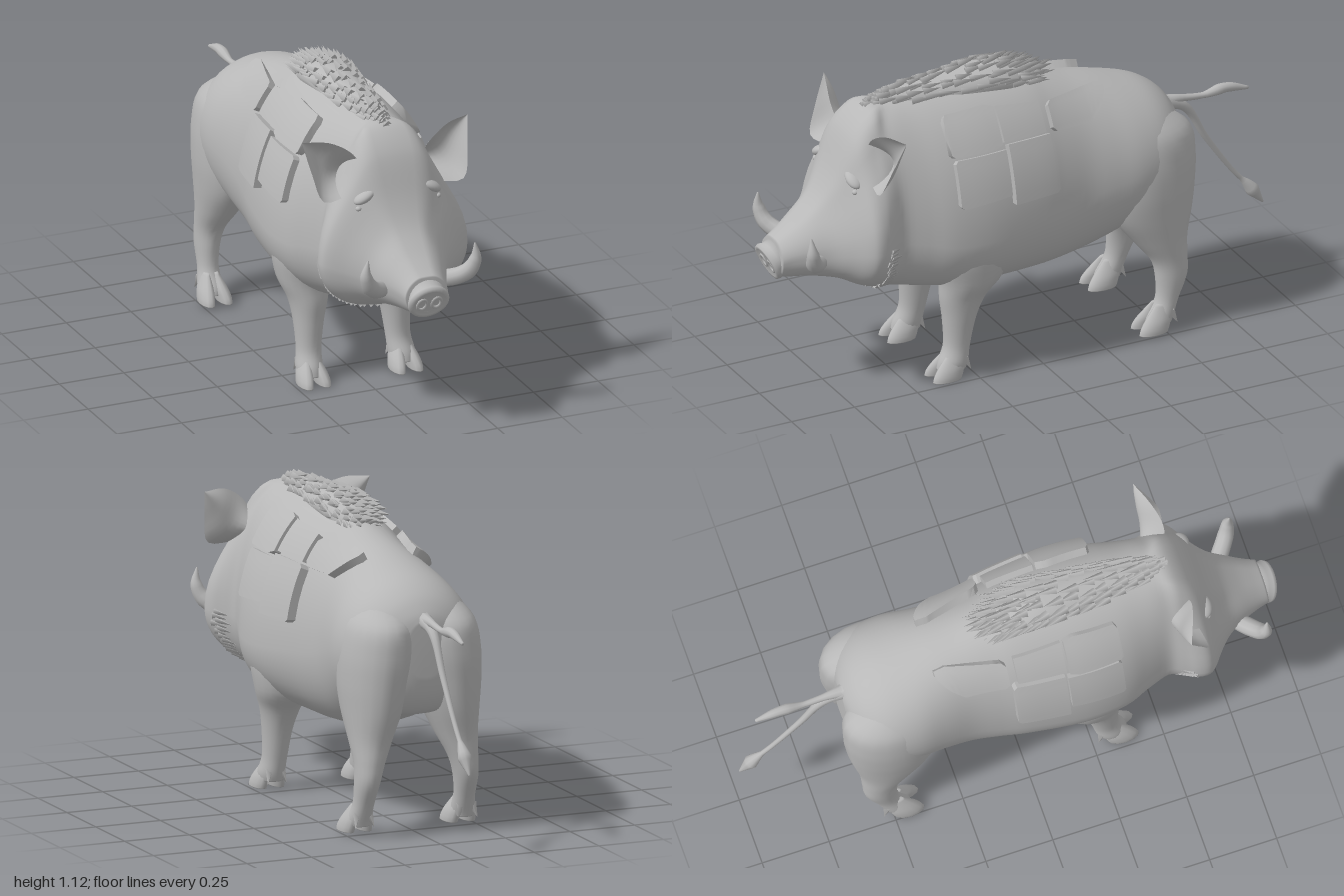
import * as THREE from 'three';
import { mergeGeometries, toCreasedNormals } from 'three/addons/utils/BufferGeometryUtils.js';

const V = (x, y, z) => new THREE.Vector3(x, y, z);

// Small seeded random numbers for the hair
let seed = 7;
const rand = () => (seed = (seed * 16807) % 2147483647) / 2147483647;

// Smoothly subdivides rows of numbers
function smoothRows(rows, n) {
  const out = [], last = rows.length - 1;
  const at = i => rows[Math.min(Math.max(i, 0), last)];
  for (let i = 0; i < last; i++)
    for (let k = 0; k < n; k++) {
      const t = k / n;
      out.push(rows[i].map((b, c) => {
        const a = at(i - 1)[c], d = at(i + 1)[c], e = at(i + 2)[c];
        return 0.5 * (2 * b + (d - a) * t + (2 * a - 5 * b + 4 * d - e) * t * t + (3 * b - a - 3 * d + e) * t ** 3);
      }));
    }
  out.push(rows[last]);
  return out;
}

// Skins closed rings of points and caps both ends
function loft(rings) {
  const m = rings[0].length, pos = [], idx = [];
  rings.forEach(r => r.forEach(p => pos.push(p.x, p.y, p.z)));
  for (let i = 0; i < rings.length - 1; i++)
    for (let j = 0; j < m; j++) {
      const a = i * m + j, b = i * m + (j + 1) % m;
      idx.push(a, b, a + m, b, b + m, a + m);
    }
  [0, rings.length - 1].forEach((i, end) => {
    const c = rings[i].reduce((s, p) => s.add(p), V(0, 0, 0)).divideScalar(m);
    const ci = pos.length / 3;
    pos.push(c.x, c.y, c.z);
    for (let j = 0; j < m; j++) {
      const a = i * m + j, b = i * m + (j + 1) % m;
      end ? idx.push(ci, a, b) : idx.push(ci, b, a);
    }
  });
  const g = new THREE.BufferGeometry();
  g.setAttribute('position', new THREE.Float32BufferAttribute(pos, 3));
  g.setIndex(idx);
  g.computeVertexNormals();
  return g;
}

// Round tube with changing radius
function sweep(points, radii, steps = 24, sides = 10) {
  const curve = new THREE.CatmullRomCurve3(points.map(p => V(...p)));
  const f = curve.computeFrenetFrames(steps), rings = [];
  for (let i = 0; i <= steps; i++) {
    const u = i / steps * (radii.length - 1), k = Math.min(Math.floor(u), radii.length - 2);
    const r = THREE.MathUtils.lerp(radii[k], radii[k + 1], u - k), c = curve.getPoint(i / steps);
    rings.push(Array.from({ length: sides }, (_, j) => {
      const a = j / sides * Math.PI * 2;
      return c.clone().addScaledVector(f.normals[i], r * Math.cos(a)).addScaledVector(f.binormals[i], r * Math.sin(a));
    }));
  }
  return loft(rings);
}

// Limb from rows of [y, x, z, x radius, z radius], top to bottom
const limb = (rows, sides = 20) => loft(smoothRows(rows, 5).map(([y, x, z, rx, rz]) =>
  Array.from({ length: sides }, (_, j) => {
    const a = j / sides * Math.PI * 2;
    return V(x + rx * Math.cos(a), y, z + rz * Math.sin(a));
  })));

function mirrored(g) {
  const m = (g.index ? g.toNonIndexed() : g.clone()).scale(-1, 1, 1);
  for (const name of ['position', 'normal']) {
    const a = m.attributes[name].array;
    for (let i = 0; i < a.length; i += 9)
      for (let k = 0; k < 3; k++) [a[i + 3 + k], a[i + 6 + k]] = [a[i + 6 + k], a[i + 3 + k]];
  }
  return m;
}

const blob = (rx, ry, rz) => new THREE.SphereGeometry(1, 24, 16).scale(rx, ry, rz);

// Hair spike
function spike(p, dir, r, h) {
  const g = new THREE.ConeGeometry(r, h, 4, 1).translate(0, h * 0.35, 0);
  g.applyQuaternion(new THREE.Quaternion().setFromUnitVectors(V(0, 1, 0), dir.clone().normalize()));
  return g.translate(p.x, p.y, p.z);
}

// Trunk and head sections: z, top, bottom, height of widest point, half width, upper pinch, skull half width
const tail = [[-0.625, 0.78, 0.58, 0.68, 0.07, 1, 0], [-0.61, 0.815, 0.50, 0.67, 0.14, 1, 0], [-0.57, 0.865, 0.44, 0.66, 0.205, 1, 0]];
const trunk = [[-0.5, 0.91, 0.42, 0.66, 0.245, 1, 0], [-0.4, 0.945, 0.395, 0.65, 0.257, 1, 0], [-0.3, 0.975, 0.355, 0.63, 0.245, 1, 0],
  [-0.2, 1.0, 0.325, 0.6, 0.237, 1, 0], [-0.1, 1.03, 0.312, 0.58, 0.25, 1.08, 0], [0, 1.055, 0.31, 0.57, 0.27, 1.1, 0],
  [0.2, 1.07, 0.315, 0.55, 0.293, 1.1, 0], [0.35, 1.07, 0.325, 0.55, 0.283, 1.1, 0], [0.45, 1.065, 0.34, 0.57, 0.25, 1.05, 0],
  [0.53, 1.06, 0.355, 0.58, 0.228, 1, 0.1]];
const head = [[0.58, 1.055, 0.37, 0.585, 0.25, 1.4, 0.165], [0.62, 1.03, 0.382, 0.588, 0.276, 1.9, 0.182],
  [0.66, 0.985, 0.397, 0.588, 0.283, 2, 0.186], [0.69, 0.93, 0.41, 0.585, 0.265, 2, 0.176], [0.735, 0.82, 0.43, 0.57, 0.207, 1.7, 0.145],
  [0.785, 0.735, 0.44, 0.555, 0.155, 1.3, 0.11], [0.85, 0.67, 0.45, 0.55, 0.118, 1, 0.09],
  [0.91, 0.625, 0.455, 0.54, 0.092, 1, 0.07], [0.95, 0.60, 0.462, 0.53, 0.08, 1, 0.06]];
const sections = smoothRows([...tail, ...trunk, ...head], 4);

function sectionAt(z) {
  const i = Math.max(1, sections.findIndex(s => s[0] >= z)), a = sections[i - 1], b = sections[i];
  return a.map((v, c) => v + (b[c] - v) * (z - a[0]) / (b[0] - a[0]));
}

// Point on the trunk at an angle from +x towards +y; the boxier skull blends into the cheeks
function skin([z, top, bot, mid, w, p, skull], a) {
  const c = Math.cos(a), s = Math.sin(a), k = Math.abs(c);
  const x = s > 0 ? ((w * k ** p) ** 8 + (Math.max(skull, 0) * k ** 0.5) ** 8) ** 0.125 : w * k ** 0.75;
  return V(Math.sign(c) * x, mid + s * (s > 0 ? top - mid : mid - bot), z);
}

// Curved plate lying on the flank, from columns of [z, low y, high y]
function armourPlate(columns, lift) {
  const rings = [], n = 6;
  for (let i = 0; i < columns.length - 1; i++)
    for (let k = i ? 1 : 0; k <= 5; k++) {
      const [z, lo, hi] = columns[i].map((v, c) => v + (columns[i + 1][c] - v) * k / 5);
      const s = sectionAt(z), outer = [], inner = [];
      for (let j = 0; j <= n; j++) {
        const a = Math.asin((lo + (hi - lo) * j / n - s[3]) / (s[1] - s[3]));
        const p = skin(s, a), dir = V(Math.cos(a) / s[4], Math.sin(a) / (s[1] - s[3]), 0).normalize();
        outer.push(p.clone().addScaledVector(dir, lift));
        inner.unshift(p.addScaledVector(dir, -0.015));
      }
      rings.push([...outer, ...inner]);
    }
  return toCreasedNormals(loft(rings), 0.7);
}

// Cupped ear between an upper and a lower edge
function earGeometry() {
  const up = new THREE.CatmullRomCurve3([V(0.11, 0.93, 0.63), V(0.16, 0.99, 0.635), V(0.23, 1.027, 0.615), V(0.32, 1.03, 0.58)]);
  const low = new THREE.CatmullRomCurve3([V(0.15, 0.83, 0.64), V(0.27, 0.825, 0.66), V(0.3, 0.92, 0.625), V(0.32, 1.03, 0.58)]);
  const g = new THREE.PlaneGeometry(1, 1, 12, 12), p = g.attributes.position;
  for (let i = 0; i < p.count; i++) {
    const u = p.getX(i) + 0.5, v = p.getY(i) + 0.5;
    const q = low.getPoint(u).lerp(up.getPoint(u), v);
    p.setXYZ(i, q.x, q.y, q.z - 0.09 * Math.sin(v * Math.PI) * (1 - u * u));
  }
  g.computeVertexNormals();
  return g;
}

export function createModel() {
  const model = new THREE.Group();
  const hide = new THREE.MeshStandardMaterial({ color: 0xb8b8b8, side: THREE.DoubleSide });
  hide.name = 'grey hide';
  const add = (name, g) => {
    const mesh = new THREE.Mesh(g, hide);
    mesh.name = name;
    model.add(mesh);
  };
  const pair = (name, g) => { add(name + 'Left', g); add(name + 'Right', mirrored(g)); };

  // Trunk and head
  add('body', loft(sections.map(s => Array.from({ length: 48 }, (_, j) => skin(s, j / 48 * Math.PI * 2)))));

  // Snout disc with nostrils
  const snout = new THREE.Group();
  snout.name = 'snout';
  const disc = new THREE.Mesh(new THREE.LatheGeometry([[0, -0.06], [0.068, -0.06], [0.064, -0.01], [0.07, 0.005],
    [0.067, 0.018], [0.055, 0.02], [0.045, 0.013], [0, 0.015]].map(p => new THREE.Vector2(...p)), 28), hide);
  disc.name = 'snoutDisc';
  disc.scale.set(1.12, 1, 1);
  snout.add(disc);
  for (const s of [-1, 1]) {
    const nostril = new THREE.Mesh(new THREE.TorusGeometry(0.018, 0.005, 6, 14), hide);
    nostril.name = 'nostril';
    nostril.rotation.x = Math.PI / 2;
    nostril.scale.y = 1.3;
    nostril.position.set(s * 0.028, 0.014, 0.005);
    snout.add(nostril);
  }
  snout.position.set(0, 0.518, 0.955);
  snout.rotation.x = Math.PI / 2 + 0.4;
  model.add(snout);

  // Face
  pair('ear', earGeometry());
  pair('tusk', sweep([[0.09, 0.53, 0.80], [0.145, 0.54, 0.845], [0.19, 0.57, 0.88], [0.212, 0.62, 0.895], [0.207, 0.68, 0.9]],
    [0.03, 0.032, 0.03, 0.022, 0.003]));
  pair('brow', blob(0.045, 0.02, 0.03).rotateZ(-0.5).translate(0.127, 0.835, 0.69));
  pair('eye', blob(0.012, 0.01, 0.012).translate(0.153, 0.795, 0.697));

  // Legs with split hooves and dewclaws
  pair('frontLeg', limb([[0.62, 0.19, 0.25, 0.04, 0.1], [0.5, 0.175, 0.25, 0.1, 0.145], [0.38, 0.17, 0.248, 0.094, 0.12],
    [0.3, 0.165, 0.278, 0.07, 0.087], [0.22, 0.168, 0.293, 0.054, 0.064], [0.12, 0.172, 0.305, 0.045, 0.05],
    [0.06, 0.178, 0.322, 0.048, 0.056], [0.03, 0.178, 0.33, 0.045, 0.055]]));
  pair('hindLeg', limb([[0.83, 0.11, -0.46, 0.07, 0.09], [0.76, 0.12, -0.475, 0.115, 0.165], [0.66, 0.128, -0.475, 0.128, 0.18],
    [0.55, 0.14, -0.472, 0.118, 0.175], [0.45, 0.15, -0.48, 0.1, 0.152], [0.35, 0.165, -0.505, 0.075, 0.103],
    [0.27, 0.18, -0.533, 0.054, 0.07], [0.2, 0.19, -0.537, 0.044, 0.06], [0.12, 0.195, -0.517, 0.038, 0.044],
    [0.06, 0.2, -0.488, 0.044, 0.05], [0.035, 0.2, -0.48, 0.04, 0.05]]));
  for (const [name, x, z, y] of [['front', 0.178, 0.33, 0], ['hind', 0.2, -0.478, 0.01]]) {
    for (const s of [-1, 1]) {
      const cx = x + s * 0.024;
      pair(name + 'Hoof', limb([[y + 0.1, cx - s * 0.008, z - 0.015, 0.01, 0.03], [y + 0.05, cx + s * 0.002, z + 0.01, 0.024, 0.05],
        [y + 0.02, cx + s * 0.008, z + 0.025, 0.026, 0.057], [y, cx + s * 0.01, z + 0.033, 0.025, 0.056]], 12));
      pair(name + 'Dewclaw', spike(V(cx, y + 0.065, z - 0.045), V(s * 0.3, -1, -0.4), 0.018, 0.055));
    }
  }

  // Forked tail with tufts
  add('tailUpper', sweep([[0, 0.78, -0.56], [0, 0.785, -0.65], [0, 0.775, -0.76], [0, 0.785, -0.85], [0, 0.765, -0.94]],
    [0.045, 0.024, 0.013, 0.011, 0.02, 0.016, 0.006], 28));
  add('tailLower', sweep([[0, 0.79, -0.58], [0, 0.75, -0.685], [0, 0.61, -0.77], [0, 0.45, -0.88], [0, 0.38, -0.94], [0, 0.3, -0.998]],
    [0.035, 0.021, 0.014, 0.011, 0.009, 0.009, 0.026, 0.004], 35));

  // Armour plates on both flanks
  const plates = {
    frontUpper: [0.028, [[0.155, 0.885, 0.995], [0.19, 0.875, 1.005], [0.345, 0.875, 1.0], [0.355, 0.885, 0.985]]],
    frontLower: [0.025, [[0.145, 0.715, 0.868], [0.335, 0.7, 0.865], [0.345, 0.71, 0.855]]],
    middleUpper: [0.022, [[-0.03, 0.885, 0.975], [0.145, 0.89, 0.995]]],
    middleLower: [0.032, [[-0.052, 0.69, 0.865], [-0.04, 0.68, 0.878], [0.135, 0.68, 0.882]]],
    rear: [0.03, [[-0.31, 0.94, 0.95], [-0.27, 0.905, 0.96], [-0.22, 0.87, 0.962], [-0.075, 0.875, 0.965], [-0.06, 0.89, 0.955]]],
  };
  for (const [name, [lift, cols]] of Object.entries(plates)) pair(name + 'Plate', armourPlate(cols, lift));

  // Mane: a raised ridge with swept-back spikes; rows of z, top, half width
  const mane = smoothRows([[-0.1, 1.035, 0.02], [-0.05, 1.065, 0.06], [0.02, 1.092, 0.088], [0.12, 1.107, 0.092], [0.3, 1.095, 0.075],
    [0.46, 1.085, 0.055], [0.54, 1.07, 0.035], [0.58, 1.045, 0.02]], 3);
  const ridgePoint = ([z, top, w], a) => V(w * Math.cos(a), top - 0.06 + 0.06 * Math.sin(a), z);
  add('maneRidge', loft(mane.map(r => Array.from({ length: 16 }, (_, j) => ridgePoint(r, j / 8 * Math.PI)))));
  const hairs = [];
  for (const row of mane.slice(1))
    for (let j = 0; j < 7; j++) {
      const a = (0.04 + (j + rand() * 0.7) / 7 * 0.94) * Math.PI, p = ridgePoint(row, a);
      p.z += (rand() - 0.5) * 0.03;
      hairs.push(spike(p, V(Math.cos(a) * 0.35, 0.2 * Math.sin(a), -1), 0.014 + rand() * 0.006, 0.06 + rand() * 0.03));
    }
  add('maneHair', mergeGeometries(hairs));

  // Ragged fringe lying back from the jaw onto the neck
  const ruff = [];
  for (let j = 0; j < 44; j++) {
    const a = -Math.PI * (0.01 + 0.98 * j / 43), z = 0.6 + rand() * 0.025;
    const p = skin(sectionAt(z), a).multiply(V(0.97, 1, 1)).add(V(0, 0.006, 0));
    ruff.push(spike(p, skin(sectionAt(z - 0.06), a).sub(p), 0.016, 0.05 + rand() * 0.03));
  }
  add('cheekRuff', mergeGeometries(ruff));
  return model;
}
